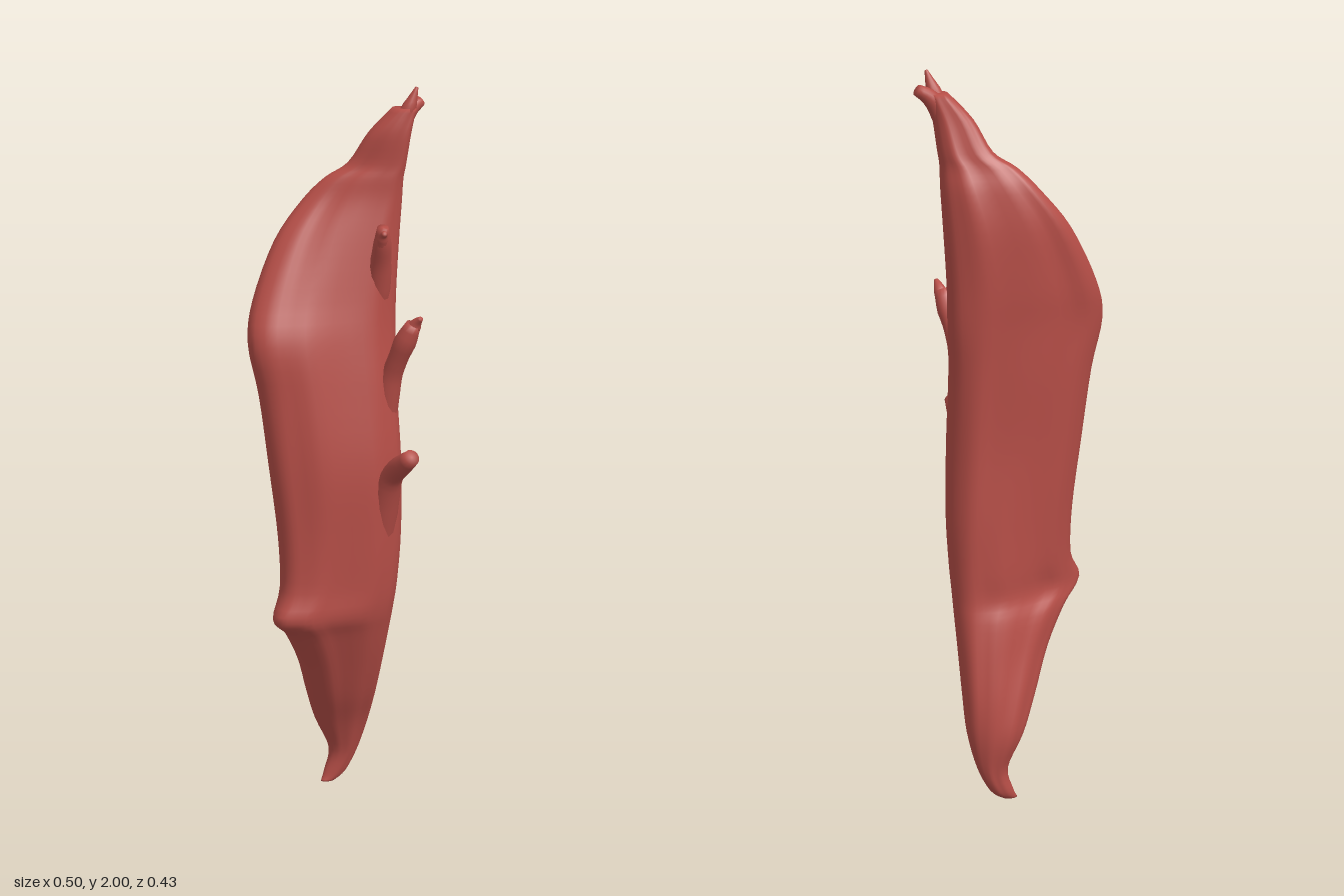
import * as THREE from 'three';

const { lerp, clamp } = THREE.MathUtils;

// Skins closed rings of points (ordered bottom to top) and caps both ends.
function loft(rings) {
  const n = rings[0].length, pos = [], idx = [];
  rings.forEach(r => r.forEach(p => pos.push(p.x, p.y, p.z)));
  for (let j = 0; j < rings.length - 1; j++) {
    for (let i = 0; i < n; i++) {
      const a = j * n + i, b = j * n + (i + 1) % n;
      idx.push(a, a + n, b, b, a + n, b + n);
    }
  }
  [0, rings.length - 1].forEach(j => {
    const c = new THREE.Vector3();
    rings[j].forEach(p => c.addScaledVector(p, 1 / n));
    const ci = pos.length / 3;
    pos.push(c.x, c.y, c.z);
    for (let i = 0; i < n; i++) {
      const a = j * n + i, b = j * n + (i + 1) % n;
      if (j === 0) idx.push(ci, a, b); else idx.push(ci, b, a);
    }
  });
  const g = new THREE.BufferGeometry();
  g.setAttribute('position', new THREE.Float32BufferAttribute(pos, 3));
  g.setIndex(idx);
  g.computeVertexNormals();
  return g;
}

// Trunk sections: y, xMin, xMax, back and front z at xMin, back and front z at xMax
const SECTIONS = [
  [0.003, 0.003, 0.045, -0.175, -0.15, -0.175, -0.15],
  [0.03, 0.015, 0.08, -0.19, -0.145, -0.19, -0.14],
  [0.1, 0.03, 0.115, -0.2, -0.128, -0.2, -0.125],
  [0.2, -0.015, 0.14, -0.215, -0.095, -0.215, -0.085],
  [0.3, -0.055, 0.147, -0.185, -0.05, -0.222, -0.03],
  [0.42, -0.1, 0.152, -0.14, 0.0, -0.205, 0.02],
  [0.52, -0.155, 0.157, -0.1, 0.045, -0.185, 0.055],
  [0.58, -0.208, 0.16, -0.045, 0.075, -0.178, 0.075],
  [0.66, -0.178, 0.165, -0.075, 0.068, -0.167, 0.088],
  [0.8, -0.178, 0.17, -0.09, 0.065, -0.158, 0.1],
  [1.0, -0.2, 0.165, -0.1, 0.06, -0.147, 0.11],
  [1.2, -0.223, 0.16, -0.11, 0.045, -0.15, 0.085],
  [1.34, -0.25, 0.165, -0.11, 0.03, -0.157, 0.06],
  [1.45, -0.225, 0.167, -0.13, -0.01, -0.155, 0.052],
  [1.6, -0.15, 0.175, -0.15, -0.055, -0.145, 0.045],
  [1.7, -0.07, 0.18, -0.145, -0.075, -0.125, 0.04],
  [1.76, -0.01, 0.18, -0.125, -0.065, -0.1, 0.038],
  [1.8, 0.05, 0.185, -0.105, -0.045, -0.085, 0.036],
  [1.88, 0.095, 0.195, -0.075, -0.01, -0.062, 0.035],
  [1.945, 0.155, 0.21, -0.05, 0.012, -0.048, 0.025],
];

// Smooth blend between section k and the next
function blend(k, t) {
  const at = i => SECTIONS[clamp(i, 0, SECTIONS.length - 1)];
  return at(k).map((p1, c) => {
    const p0 = at(k - 1)[c], p2 = at(k + 1)[c], p3 = at(k + 2)[c];
    const m1 = (p2 - p0) / 2, m2 = (p3 - p1) / 2;
    return p1 + m1 * t + (3 * (p2 - p1) - 2 * m1 - m2) * t * t + (2 * (p1 - p2) + m1 + m2) * t * t * t;
  });
}

function trunkRing([y, x0, x1, b0, f0, b1, f1]) {
  // Round near the foot, boxier higher up
  const power = lerp(1, 0.76, clamp(y / 0.6, 0, 1));
  const soft = v => Math.sign(v) * Math.pow(Math.abs(v), power);
  const fade = Math.min(1, y * 3, (2 - y) * 3);
  return Array.from({ length: 44 }, (_, i) => {
    const a = i / 44 * Math.PI * 2;
    const t = (1 + soft(Math.cos(a))) / 2, v = soft(Math.sin(a));
    const back = lerp(b0, b1, t), front = lerp(f0, f1, t);
    // Shallow lengthwise grain
    const grain = 0.004 * fade * (Math.sin(a * 9 + y * 3) + 0.6 * Math.sin(a * 5 - y * 7)) * Math.abs(Math.sin(a));
    return new THREE.Vector3(lerp(x0, x1, t), y, (back + front) / 2 + v * ((front - back) / 2 + grain));
  });
}

function trunkGeometry() {
  const rings = [], steps = 4, last = SECTIONS.length - 1;
  for (let j = 0; j <= last * steps; j++) rings.push(trunkRing(blend(Math.floor(j / steps), (j % steps) / steps)));
  return loft(rings);
}

// Round branch along a path, with radii interpolated from base to tip
function branchGeometry(path, radii) {
  const curve = new THREE.CatmullRomCurve3(path.map(p => new THREE.Vector3(...p)));
  const steps = 16, sides = 14, rings = [];
  const { normals, binormals } = curve.computeFrenetFrames(steps);
  for (let j = 0; j <= steps; j++) {
    const t = j / steps, f = t * (radii.length - 1), k = Math.min(Math.floor(f), radii.length - 2);
    const r = lerp(radii[k], radii[k + 1], f - k), c = curve.getPointAt(t);
    rings.push(Array.from({ length: sides }, (_, i) => {
      const a = i / sides * Math.PI * 2;
      return c.clone().addScaledVector(normals[j], r * Math.cos(a)).addScaledVector(binormals[j], -r * Math.sin(a));
    }));
  }
  return loft(rings);
}

export function createModel() {
  const group = new THREE.Group();
  const wood = new THREE.MeshStandardMaterial({ color: 0xb64e47 });
  wood.name = 'red wood';
  const add = (name, geometry) => {
    const mesh = new THREE.Mesh(geometry, wood);
    mesh.name = name;
    group.add(mesh);
  };

  add('trunk', trunkGeometry());

  // Broken twig stubs growing out of the front
  add('lowerTwig', branchGeometry(
    [[0.09, 0.76, 0.02], [0.095, 0.9, 0.062], [0.1, 0.985, 0.108], [0.112, 1.055, 0.2]],
    [0.045, 0.045, 0.044, 0.038, 0.03, 0.029, 0.022]));
  add('middleTwig', branchGeometry(
    [[0.11, 1.1, 0.015], [0.118, 1.22, 0.042], [0.135, 1.32, 0.083], [0.155, 1.392, 0.112]],
    [0.036, 0.036, 0.034, 0.028, 0.027, 0.031, 0.02]));
  add('middleTwigTip', branchGeometry(
    [[0.152, 1.36, 0.1], [0.16, 1.395, 0.118], [0.165, 1.412, 0.137]], [0.02, 0.017, 0.006]));
  add('upperTwig', branchGeometry(
    [[0.103, 1.42, -0.015], [0.1, 1.52, 0.015], [0.092, 1.6, 0.05], [0.085, 1.648, 0.068]],
    [0.032, 0.034, 0.032, 0.027, 0.024, 0.015]));
  add('upperTwigTip', branchGeometry(
    [[0.09, 1.59, 0.048], [0.084, 1.628, 0.074], [0.08, 1.635, 0.092]], [0.02, 0.016, 0.006]));

  // Forked tip, rooted inside the trunk
  add('tallProng', branchGeometry(
    [[0.15, 1.8, -0.015], [0.172, 1.9, -0.008], [0.192, 1.955, 0.003], [0.207, 2.0, 0.01]],
    [0.018, 0.022, 0.024, 0.019, 0.004]));
  add('sideProng', branchGeometry(
    [[0.155, 1.8, -0.03], [0.175, 1.89, -0.022], [0.203, 1.935, -0.027], [0.238, 1.958, -0.034]],
    [0.018, 0.024, 0.026, 0.023, 0.015]));
  return group;
}
